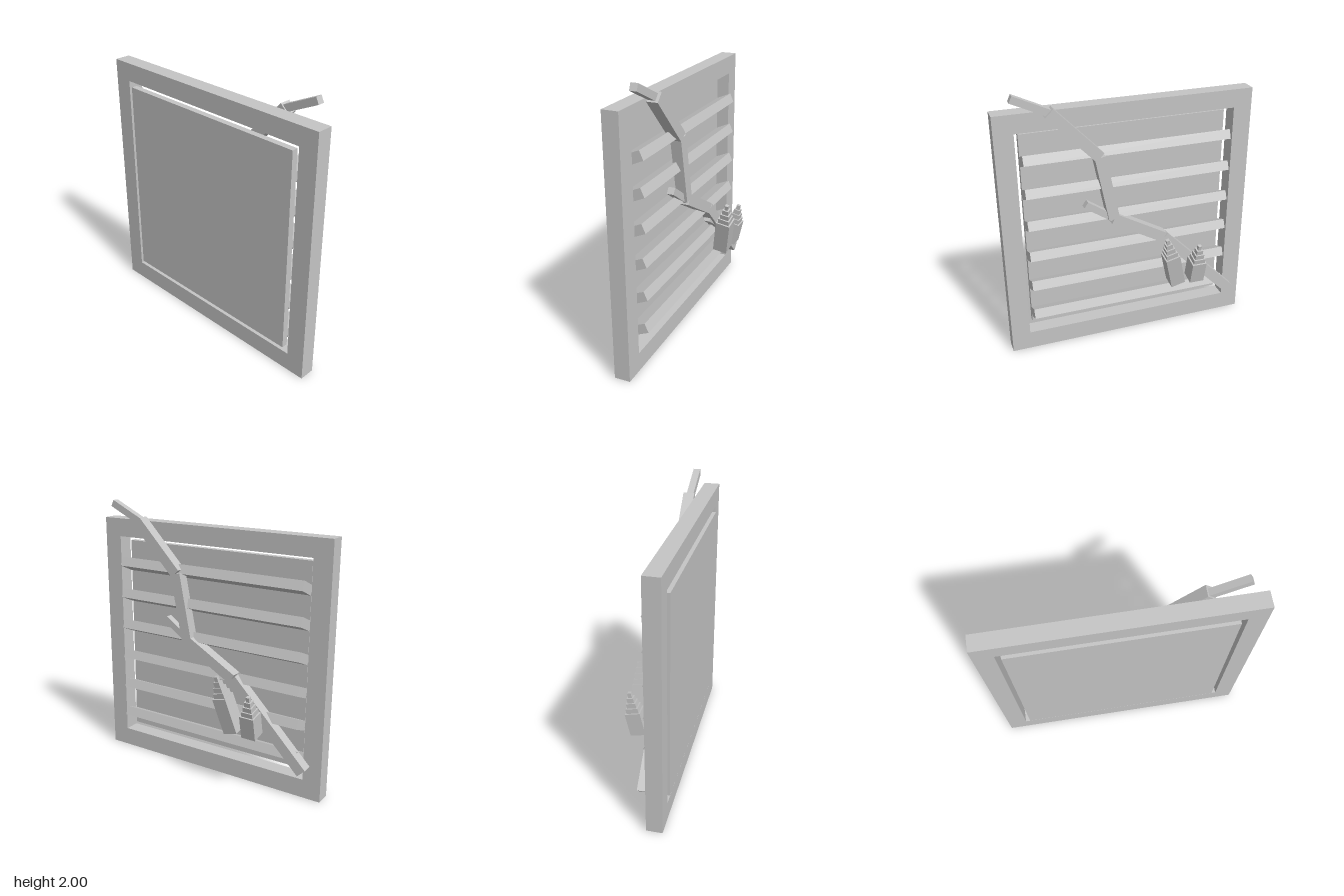
import * as THREE from 'three';

export function createModel() {
  const model = new THREE.Group();
  const grey = new THREE.MeshStandardMaterial({ color: 0xc4c4c4 });
  grey.name = 'plain grey';

  const add = (name, geometry, parent = model) => {
    const mesh = new THREE.Mesh(geometry, grey);
    mesh.name = name;
    parent.add(mesh);
    return mesh;
  };

  // Square window frame with a rectangular opening
  const outline = new THREE.Shape([[-0.93, 0], [0.93, 0], [0.93, 1.86], [-0.93, 1.86]]
    .map(([x, y]) => new THREE.Vector2(x, y)));
  outline.holes.push(new THREE.Path([[-0.793, 0.14], [-0.793, 1.726], [0.793, 1.726], [0.793, 0.14]]
    .map(([x, y]) => new THREE.Vector2(x, y))));
  const frame = add('frame', new THREE.ExtrudeGeometry(outline, { depth: 0.115, bevelEnabled: false }));
  frame.position.z = 0.07;

  // Front panel floating inside the opening
  add('panel', new THREE.BoxGeometry(1.51, 1.51, 0.045)).position.set(0, 0.935, 0.1725);

  // Tilted slats behind the panel
  for (let i = 0; i < 6; i++) {
    const slat = add('slat', new THREE.BoxGeometry(1.51, 0.07, 0.14));
    slat.position.set(0, 1.519 - i * 0.244, 0.091);
    slat.rotation.x = 0.41;
  }

  // Square beam between two points in the plane of the branch
  const branch = new THREE.Group();
  branch.name = 'branch';
  model.add(branch);
  const beam = (name, [x1, y1], [x2, y2], size, z) => {
    const mesh = add(name, new THREE.BoxGeometry(Math.hypot(x2 - x1, y2 - y1), size, size), branch);
    mesh.position.set((x1 + x2) / 2, (y1 + y2) / 2, z);
    mesh.rotation.z = Math.atan2(y2 - y1, x2 - x1);
  };

  // Crooked main branch
  const path = [[-0.815, 0.23], [-0.245, 0.81], [0.14, 1.03], [0.235, 1.515], [0.57, 1.865]];
  for (let i = 0; i < path.length - 1; i++) beam('branchSegment', path[i], path[i + 1], 0.08, 0.027);

  // Thin twigs
  beam('tipTwig', [0.56, 1.86], [0.808, 1.978], 0.05, 0.033);
  beam('upperTwig', [0.13, 1.02], [0.34, 1.163], 0.05, 0.033);
  beam('lowerTwig', [-0.5, 0.565], [-0.29, 0.703], 0.05, 0.033);

  // Stepped buds: a long square body topped with shrinking blocks, leaning along an axis
  const bud = (base, tip, bodyShare) => {
    const group = new THREE.Group();
    group.name = 'bud';
    const axis = new THREE.Vector3(...tip).sub(new THREE.Vector3(...base));
    const length = axis.length();
    const steps = [0.11, 0.088, 0.068, 0.048, 0.026];
    let y = 0;
    steps.forEach((width, i) => {
      const h = length * (i ? (1 - bodyShare) / (steps.length - 1) : bodyShare);
      add('budBlock', new THREE.BoxGeometry(width, h, width), group).position.y = y + h / 2;
      y += h;
    });
    group.position.set(...base);
    group.quaternion.setFromUnitVectors(new THREE.Vector3(0, 1, 0), axis.normalize());
    model.add(group);
  };
  bud([-0.315, 0.465, -0.085], [-0.21, 0.872, -0.16], 0.64);
  bud([-0.465, 0.465, -0.09], [-0.468, 0.775, -0.16], 0.55);

  return model;
}
